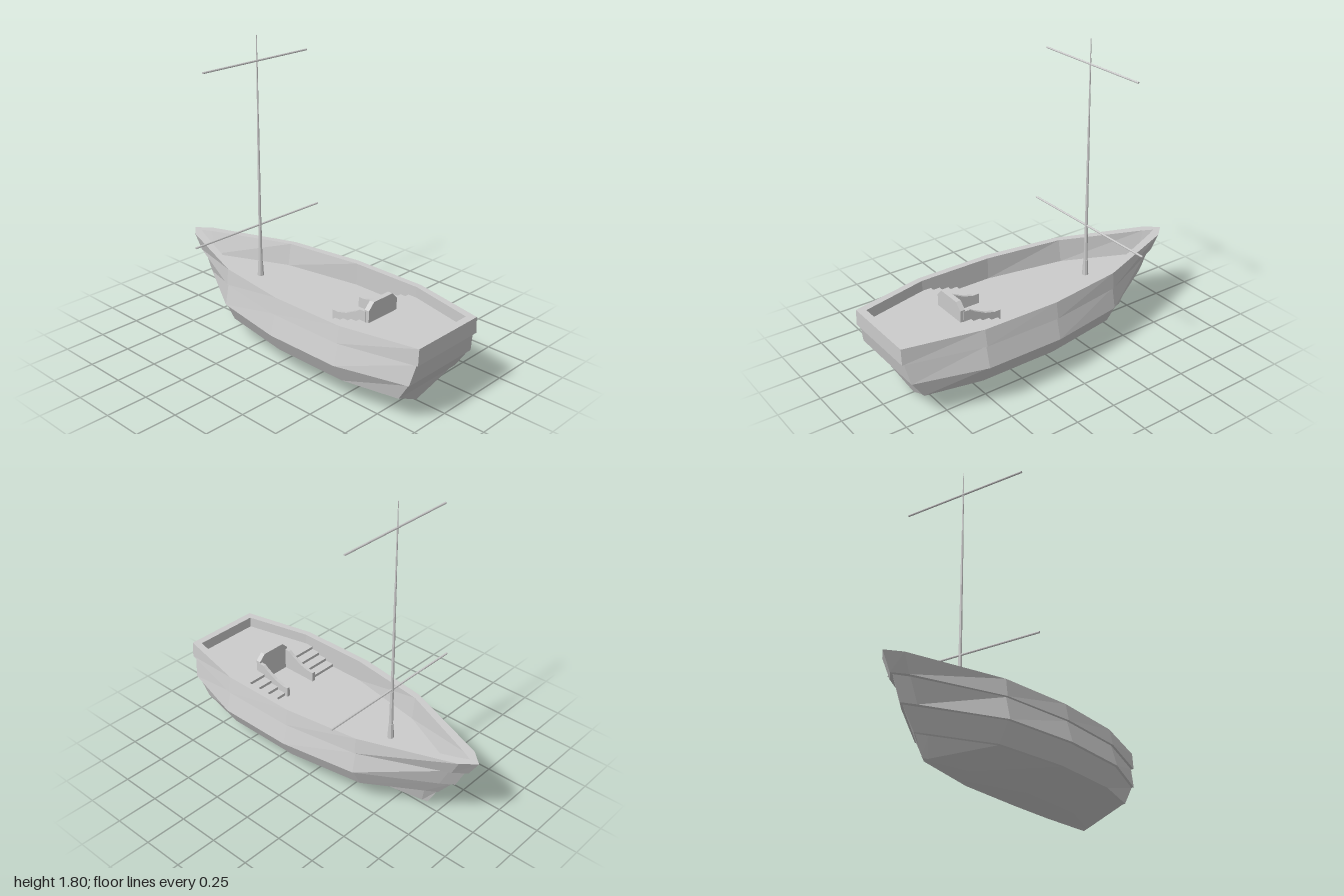
import * as THREE from 'three';

const DECK = 0.345, QUARTER = 0.415;
const material = new THREE.MeshStandardMaterial({ color: 0xcccccc, flatShading: true, side: THREE.DoubleSide });

function add(group, name, geometry, x = 0, y = 0, z = 0) {
  const mesh = new THREE.Mesh(geometry, material);
  mesh.name = name;
  mesh.position.set(x, y, z);
  group.add(mesh);
  return mesh;
}

// Level outline: half stations [x, z] from stern to bow
const level = (y, half) => half.map(([x, z]) => [x, y, z]);

// Mirrors each half outline and skins the closed loops in order
function loft(halves) {
  const rings = halves.map(h => [...h, ...h.slice(0, -1).reverse().map(([x, y, z]) => [-x, y, z])]);
  const n = rings[0].length, index = [];
  for (let i = 0; i < rings.length - 1; i++) {
    for (let j = 0; j < n; j++) {
      const a = i * n + j, b = i * n + (j + 1) % n;
      index.push(a, b, b + n, a, b + n, a + n);
    }
  }
  const g = new THREE.BufferGeometry();
  g.setAttribute('position', new THREE.Float32BufferAttribute(rings.flat(2), 3));
  g.setIndex(index);
  const flat = g.toNonIndexed();
  flat.computeVertexNormals();
  return flat;
}

function hullGeometry() {
  const deck = [[0.205, 0.955], [0.30, 0.55], [0.30, 0.10], [0.215, -0.38], [0.01, -0.83], [0, -0.85]];
  return loft([
    // keel and bilge
    [[0, 0.005, 0.81], [0, 0.002, 0.55], [0, 0.002, 0.08], [0, 0.005, -0.38], [0, 0.03, -0.64], [0, 0.035, -0.68]],
    [[0.02, 0.016, 0.815], [0.09, 0.037, 0.55], [0.09, 0.037, 0.08], [0.06, 0.037, -0.38], [0.01, 0.037, -0.65], [0, 0.037, -0.682]],
    level(0.14, [[0.23, 0.87], [0.30, 0.55], [0.30, 0.08], [0.225, -0.38], [0.035, -0.68], [0, -0.74]]),
    // lower strake
    level(0.145, [[0.24, 0.88], [0.31, 0.55], [0.31, 0.08], [0.235, -0.38], [0.04, -0.69], [0, -0.75]]),
    level(0.255, [[0.25, 0.95], [0.365, 0.55], [0.365, 0.08], [0.29, -0.38], [0.045, -0.77], [0, -0.84]]),
    // middle strake
    level(0.26, [[0.26, 0.96], [0.377, 0.55], [0.377, 0.08], [0.30, -0.38], [0.05, -0.79], [0, -0.86]]),
    level(0.382, [[0.235, 0.985], [0.345, 0.55], [0.345, 0.08], [0.275, -0.38], [0.05, -0.85], [0, -0.92]]),
    // top strake, rim and bulwark inside
    level(0.385, [[0.245, 1], [0.357, 0.55], [0.357, 0.08], [0.285, -0.38], [0.06, -0.87], [0, -0.94]]),
    level(0.48, [[0.24, 1], [0.338, 0.55], [0.34, 0.08], [0.275, -0.38], [0.07, -0.92], [0, -1]]),
    level(0.48, [[0.205, 0.955], [0.30, 0.55], [0.30, 0.10], [0.235, -0.38], [0.03, -0.88], [0, -0.94]]),
    // main deck closed to the centre line
    level(DECK, deck),
    level(DECK, deck.map(([, z]) => [0, z])),
  ]);
}

// Extrudes a side profile of [z, y] points across x
function sideProfile(points, width) {
  const shape = new THREE.Shape(points.map(([z, y]) => new THREE.Vector2(-z, y)));
  const g = new THREE.ExtrudeGeometry(shape, { depth: width, bevelEnabled: false });
  return g.translate(0, 0, -width / 2).rotateY(Math.PI / 2);
}

function createMast() {
  const mast = new THREE.Group();
  mast.name = 'mast';
  mast.position.z = -0.4;
  // sections: bottom y, top y, bottom radius, top radius
  const sections = [[DECK, 0.44, 0.019, 0.014], [0.44, 0.66, 0.012, 0.010], [0.66, 1.34, 0.009, 0.006],
    [1.34, 1.69, 0.005, 0.004], [1.69, 1.80, 0.003, 0.002]];
  sections.forEach(([y0, y1, r0, r1], i) =>
    add(mast, 'mastSection' + (i + 1), new THREE.CylinderGeometry(r1, r0, y1 - y0, 8), 0, (y0 + y1) / 2));
  for (const [name, y, length] of [['lowerYard', 0.672, 0.98], ['upperYard', 1.655, 0.785]]) {
    add(mast, name, new THREE.CylinderGeometry(0.006, 0.006, length, 8).rotateZ(Math.PI / 2), 0, y);
  }
  return mast;
}

function createHelm() {
  const helm = new THREE.Group();
  helm.name = 'helmSeat';
  // back board with sloping shoulders
  const board = new THREE.Shape([[-0.115, DECK], [0.115, DECK], [0.115, 0.485], [0.075, 0.525], [-0.075, 0.525], [-0.115, 0.485]]
    .map(p => new THREE.Vector2(...p)));
  add(helm, 'backBoard', new THREE.ExtrudeGeometry(board, { depth: 0.03, bevelEnabled: false }), 0, 0, 0.53);
  const rail = [[0.30, DECK], [0.30, 0.405], [0.34, 0.405], [0.40, 0.42], [0.47, 0.455], [0.50, 0.475], [0.54, 0.478], [0.54, DECK]];
  for (const side of [-1, 1]) {
    add(helm, side > 0 ? 'leftRail' : 'rightRail', sideProfile(rail, 0.02), side * 0.108, 0, 0);
    // steps up to the stern deck
    const steps = 4, rise = (QUARTER - DECK) / steps;
    for (let i = 0; i < steps; i++) {
      const z0 = 0.32 + i * 0.058, height = rise * (i + 1);
      add(helm, side > 0 ? 'leftStep' : 'rightStep', new THREE.BoxGeometry(0.182, height, 0.058),
        side * 0.209, DECK + height / 2, z0 + 0.029);
    }
  }
  return helm;
}

export function createModel() {
  const ship = new THREE.Group();
  ship.name = 'sailingBoat';
  add(ship, 'hull', hullGeometry());

  // raised stern deck
  const outline = new THREE.Shape([[-0.205, -0.955], [0.205, -0.955], [0.30, -0.55], [-0.30, -0.55]].map(p => new THREE.Vector2(...p)));
  add(ship, 'sternDeck', new THREE.ExtrudeGeometry(outline, { depth: QUARTER - DECK, bevelEnabled: false }).rotateX(-Math.PI / 2), 0, DECK, 0);

  ship.add(createMast(), createHelm());
  return ship;
}
